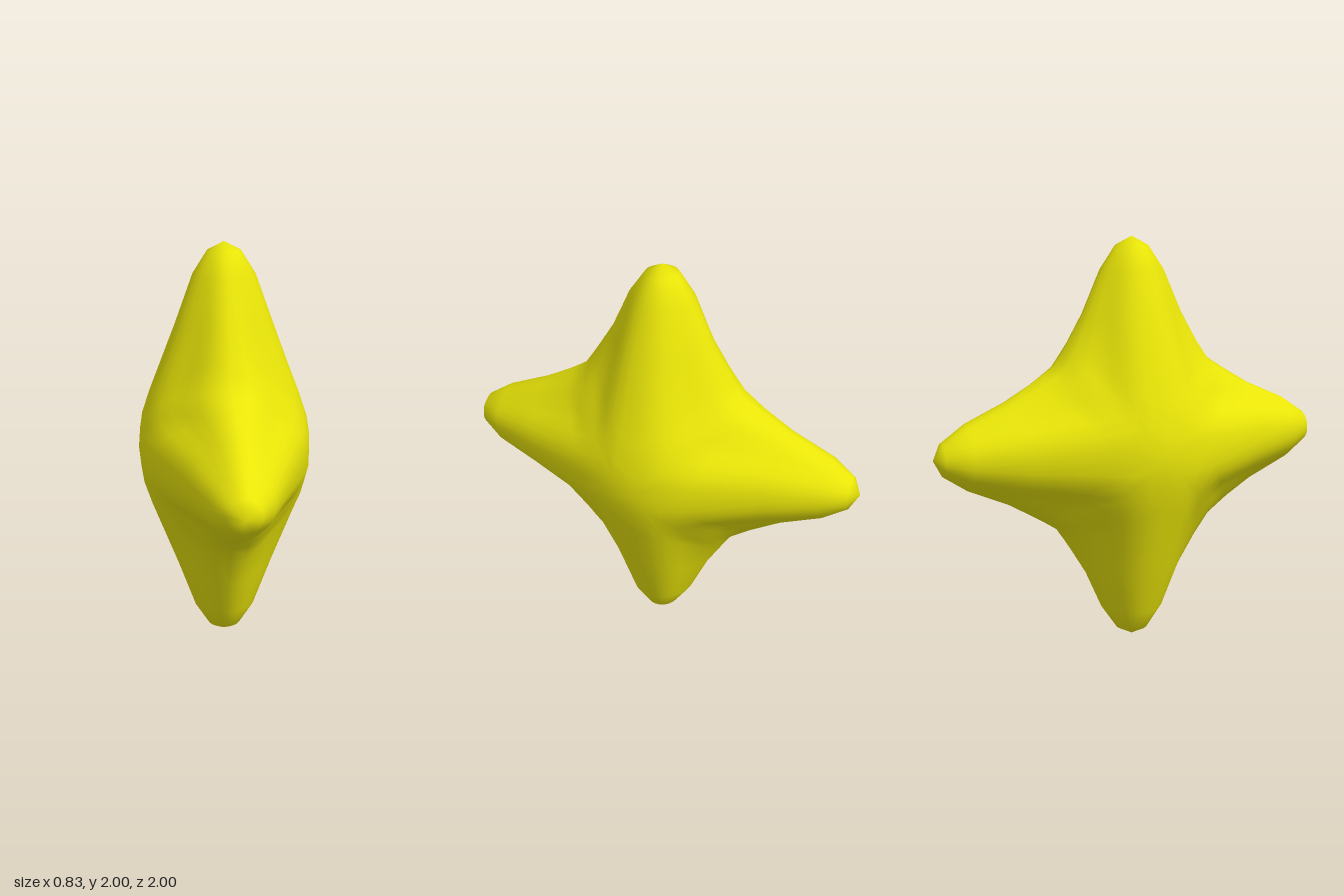
import * as THREE from 'three';
import { mergeGeometries, mergeVertices } from 'three/addons/utils/BufferGeometryUtils.js';

const SEGMENTS = 32;

// Stations from the tip to the hub:
// flank height, flank z, ridge height, ridge x, bend power, pinch between ridge and flank
const STATIONS = [
  [1.0, 0.0, 1.0, 0.0, 2, 0],
  [0.957, 0.08, 0.957, 0.08, 2, 0.02],
  [0.84, 0.16, 0.845, 0.15, 2, 0.05],
  [0.64, 0.25, 0.6, 0.238, 2, 0.1],
  [0.515, 0.325, 0.25, 0.367, 1.5, 0.13],
  [0.455, 0.363, 0.11, 0.405, 1.2, 0.11],
  [0.4, 0.4, 0.0, 0.417, 1, 0.09],
];

// One upward arm; its last ring is bent along the diagonals to meet its neighbours
function armGeometry() {
  const positions = [];
  const index = [];
  for (const [flankY, flankZ, ridgeY, ridgeX, power, pinch] of STATIONS) {
    for (let i = 0; i < SEGMENTS; i++) {
      const a = (i / SEGMENTS) * Math.PI * 2;
      const sin = Math.abs(Math.sin(a));
      const r = 1 - pinch * 1.4 * sin * Math.sin(2 * a) ** 2;
      const y = ridgeY + (flankY - ridgeY) * Math.pow(sin * r, power);
      positions.push(ridgeX * r * Math.cos(a), y, flankZ * r * Math.sin(a));
    }
  }
  for (let s = 0; s < STATIONS.length - 1; s++) {
    for (let i = 0; i < SEGMENTS; i++) {
      const j = (i + 1) % SEGMENTS;
      const a = s * SEGMENTS + i, b = s * SEGMENTS + j;
      const c = a + SEGMENTS, d = b + SEGMENTS;
      if (s > 0) index.push(a, b, c);
      index.push(b, d, c);
    }
  }
  const geometry = new THREE.BufferGeometry();
  geometry.setAttribute('position', new THREE.Float32BufferAttribute(positions, 3));
  geometry.setIndex(index);
  return geometry;
}

export function createModel() {
  const group = new THREE.Group();
  group.name = 'star';

  // Four arms around the x axis, welded into one smooth skin
  const arms = [];
  for (let k = 0; k < 4; k++) arms.push(armGeometry().rotateX((k * Math.PI) / 2));
  const geometry = mergeVertices(mergeGeometries(arms), 1e-3);
  geometry.computeVertexNormals();

  const body = new THREE.Mesh(geometry, new THREE.MeshStandardMaterial({ color: 0xe9e508 }));
  body.name = 'starBody';
  body.position.y = 1;
  group.add(body);
  return group;
}
